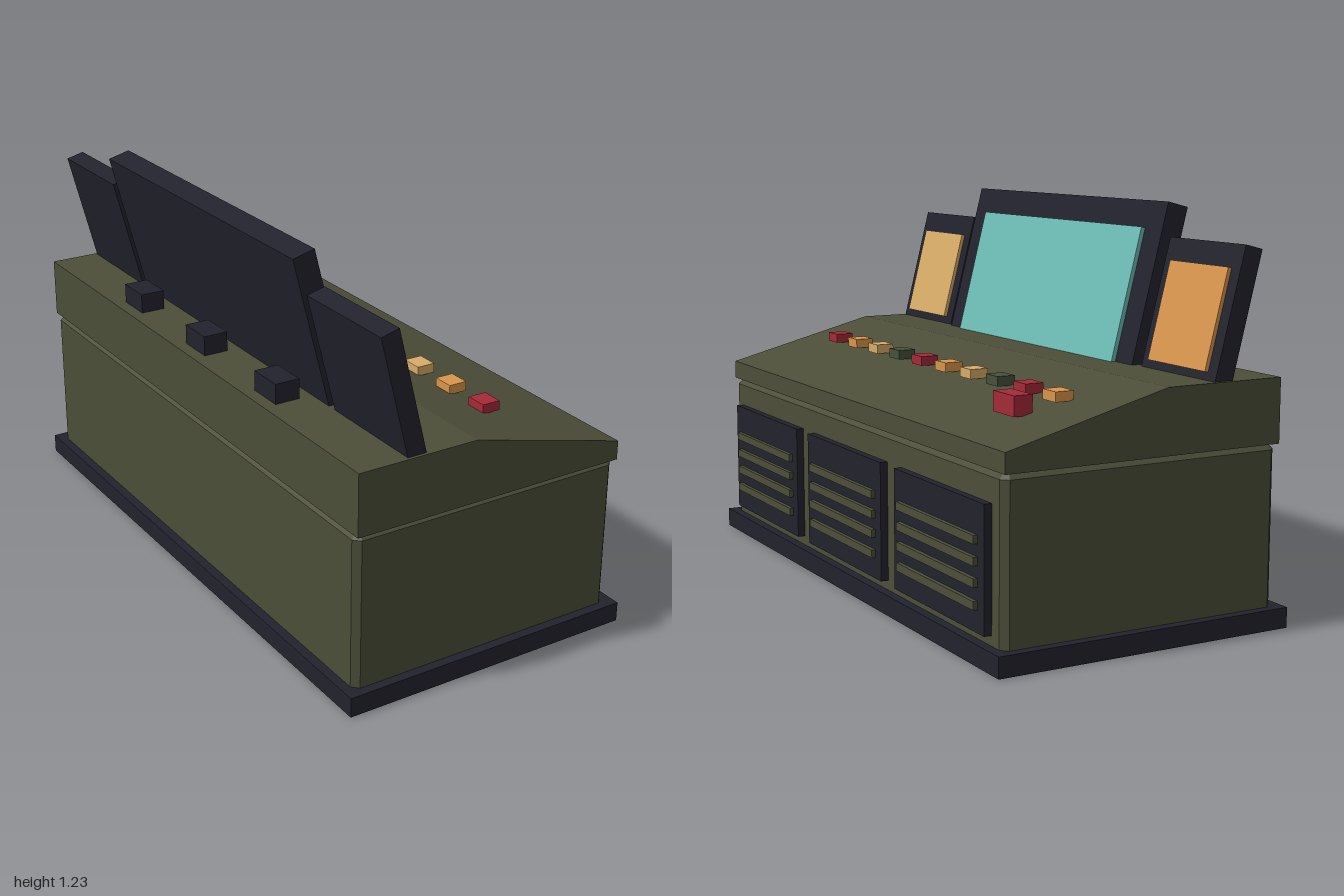
import * as THREE from 'three';

const mat = (name, color) => {
  const m = new THREE.MeshStandardMaterial({ color });
  m.name = name;
  return m;
};

export function createModel() {
  const olive = mat('olive casing', 0x4c4e39);
  const dark = mat('dark trim', 0x22222d);
  const teal = mat('teal screen', 0x6cbdb6);
  const tan = mat('tan', 0xd8ac68);
  const orange = mat('orange', 0xd8954c);
  const red = mat('red', 0xa52a38);
  const green = mat('green button', 0x48503b);

  const model = new THREE.Group();
  model.name = 'controlConsole';

  const add = (name, geometry, material, parent = model) => {
    const mesh = new THREE.Mesh(geometry, material);
    mesh.name = name;
    parent.add(mesh);
    return mesh;
  };
  // Box given by its lower and upper limits on each axis
  const box = (name, material, [x0, x1], [y0, y1], [z0, z1], parent) => {
    const mesh = add(name, new THREE.BoxGeometry(x1 - x0, y1 - y0, z1 - z0), material, parent);
    mesh.position.set((x0 + x1) / 2, (y0 + y1) / 2, (z0 + z1) / 2);
    return mesh;
  };
  const around = (c, size) => [c - size / 2, c + size / 2];
  const polygon = (points) => new THREE.Shape(points.map(([x, y]) => new THREE.Vector2(x, y)));

  // Plinth
  box('plinth', dark, [-0.49, 0.48], [0, 0.062], [-1, 1]);

  // Cabinet body with chamfered vertical and top edges
  const c = 0.02, hx = 0.455, hz = 0.97;
  const footprint = polygon([
    [-hx + c, -hz], [hx - c, -hz], [hx, -hz + c], [hx, hz - c],
    [hx - c, hz], [-hx + c, hz], [-hx, hz - c], [-hx, -hz + c],
  ]);
  const bodyGeometry = new THREE.ExtrudeGeometry(footprint, {
    depth: 0.5, bevelEnabled: true, bevelSegments: 1,
    bevelSize: c, bevelThickness: c, bevelOffset: -c,
  });
  bodyGeometry.rotateX(-Math.PI / 2);
  add('cabinet', bodyGeometry, olive).position.set(-0.005, 0.03, 0);

  // Desk top with sloping control surface
  const desk = new THREE.ExtrudeGeometry(
    polygon([[-0.46, 0.548], [0.45, 0.548], [0.45, 0.608], [-0.07, 0.742], [-0.46, 0.742]]),
    { depth: 1.96, bevelEnabled: false });
  desk.translate(0, 0, -0.98);
  add('deskTop', desk, olive);

  // Vent panels with slats
  for (const z of [-0.637, 0, 0.637]) {
    box('ventPanel', dark, [0.44, 0.474], [0.092, 0.458], around(z, 0.545));
    for (const y of [0.17, 0.233, 0.293, 0.354])
      box('ventSlat', olive, [0.47, 0.487], around(y, 0.025), around(z, 0.47));
  }

  // Row of push buttons
  const order = [orange, red, green, tan, orange, red, green, tan, orange, red];
  order.forEach((material, i) =>
    box('button', material, [0.115, 0.175], [0.69, 0.72], around(-0.747 + i * 0.164, 0.07)));
  box('emergencyButton', red, [0.235, 0.296], [0.655, 0.715], around(-0.7, 0.118));

  // Monitors leaning back, in a tilted frame (local x faces the operator)
  const monitors = new THREE.Group();
  monitors.name = 'monitors';
  monitors.position.set(-0.295, 0.74, 0);
  monitors.rotation.z = 0.25;
  model.add(monitors);
  box('mainMonitorFrame', dark, [0, 0.073], [-0.05, 0.485], [-0.575, 0.575], monitors);
  box('mainScreen', teal, [0.07, 0.087], [-0.05, 0.4], [-0.485, 0.485], monitors);
  for (const [side, material] of [[1, tan], [-1, orange]]) {
    box('sideMonitorFrame', dark, [0, 0.06], [-0.05, 0.382], around(side * 0.788, 0.364), monitors);
    box('sideScreen', material, [0.055, 0.072], [0.01, 0.312], around(side * 0.788, 0.282), monitors);
  }

  // Connector blocks behind the monitors
  for (const z of [-0.425, 0, 0.425])
    box('connectorBlock', dark, [-0.42, -0.34], [0.735, 0.805], around(z, 0.12));

  return model;
}
